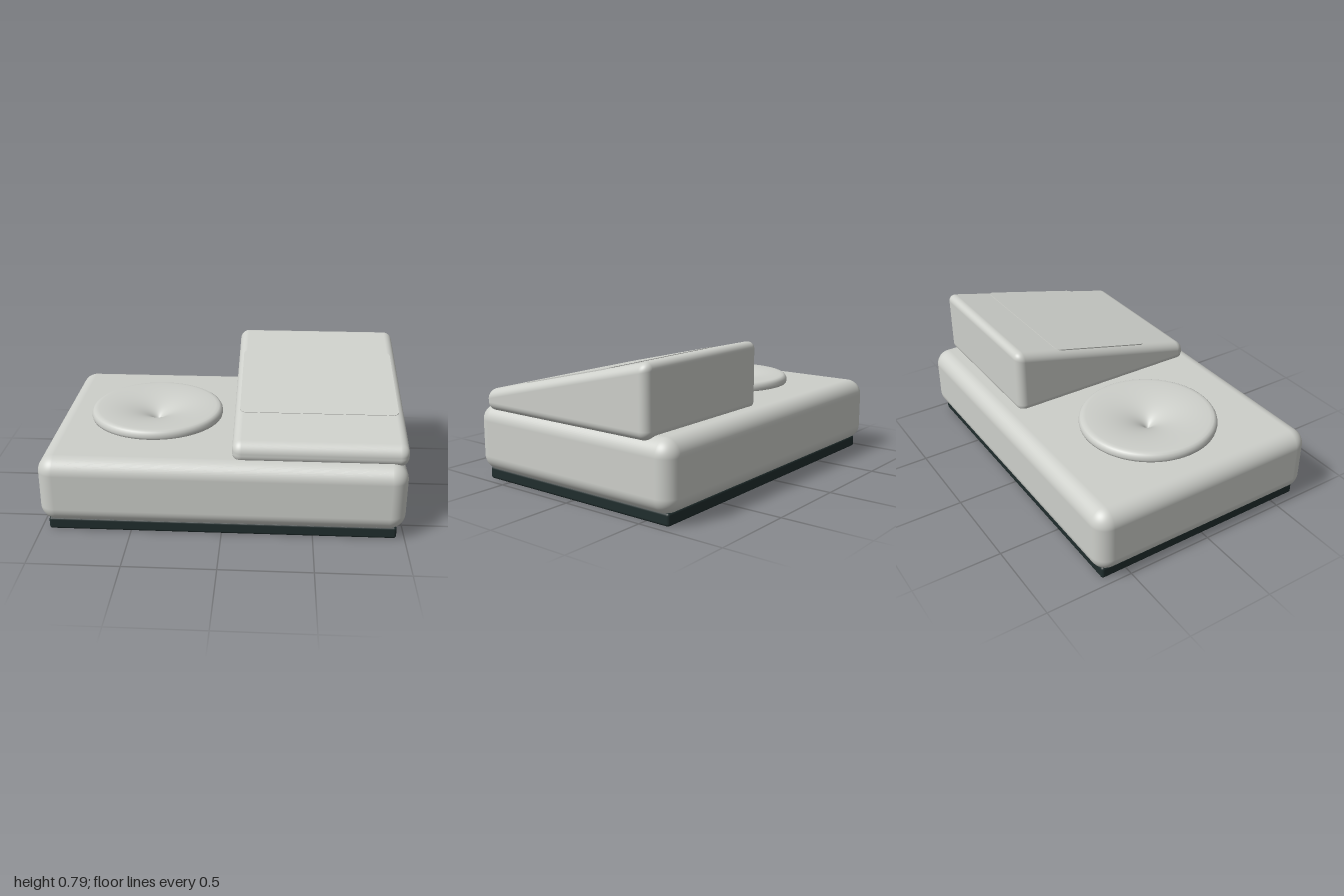
import * as THREE from 'three';
import { RoundedBoxGeometry } from 'three/addons/geometries/RoundedBoxGeometry.js';

const shell = new THREE.MeshStandardMaterial({ color: 0xcdcfca });
shell.name = 'light grey shell';
const rubber = new THREE.MeshStandardMaterial({ color: 0x202d2d });
rubber.name = 'dark base';

const DISH_X = -0.42, BODY_TOP = 0.436, SLOPE = 0.24;

function part(name, geometry, material, x = 0, y = 0, z = 0) {
  const mesh = new THREE.Mesh(geometry, material);
  mesh.name = name;
  mesh.position.set(x, y, z);
  return mesh;
}

function roundedRect(w, h, r) {
  const s = new THREE.Shape();
  const x = w / 2, y = h / 2;
  s.absarc(x - r, y - r, r, 0, Math.PI / 2);
  s.absarc(-x + r, y - r, r, Math.PI / 2, Math.PI);
  s.absarc(-x + r, -y + r, r, Math.PI, Math.PI * 1.5);
  s.absarc(x - r, -y + r, r, Math.PI * 1.5, Math.PI * 2);
  return s;
}

// Rounded box without its flat top, which is replaced by a deck with a hole
function openBox(w, h, d, r) {
  const box = new RoundedBoxGeometry(w, h, d, 8, r);
  const p = box.attributes.position, n = box.attributes.normal;
  const pos = [], nor = [];
  for (let i = 0; i < p.count; i += 3) {
    if ([0, 1, 2].every((k) => p.getY(i + k) > h / 2 - 1e-5)) continue;
    for (let k = i; k < i + 3; k++) {
      pos.push(p.getX(k), p.getY(k), p.getZ(k));
      nor.push(n.getX(k), n.getY(k), n.getZ(k));
    }
  }
  const g = new THREE.BufferGeometry();
  g.setAttribute('position', new THREE.Float32BufferAttribute(pos, 3));
  g.setAttribute('normal', new THREE.Float32BufferAttribute(nor, 3));
  return g;
}

// Rounded box whose upper half is sheared up towards the back
function wedge(w, h, d, r) {
  const g = new RoundedBoxGeometry(w, h, d, 8, r);
  const p = g.attributes.position, n = g.attributes.normal;
  const v = new THREE.Vector3();
  for (let i = 0; i < p.count; i++) {
    if (p.getY(i) <= 0) continue;
    p.setY(i, p.getY(i) + SLOPE * (d / 2 - p.getZ(i)));
    v.fromBufferAttribute(n, i);
    v.z += SLOPE * v.y;
    v.normalize();
    n.setXYZ(i, v.x, v.y, v.z);
  }
  return g;
}

// Round dish: rolled rim, then a hollow that steepens into the middle
function dish() {
  const pts = [[0.375, 0.425], [0.387, 0.436], [0.39, 0.448], [0.388, 0.464], [0.38, 0.477], [0.368, 0.484]]
    .map(([x, y]) => new THREE.Vector2(x, y));
  const a = 0.35, depth = 0.13, steps = 20;
  for (let i = 0; i <= steps; i++) {
    const t = (i / steps) * Math.PI / 2;
    pts.push(new THREE.Vector2(Math.max(0, a * (1 - Math.sin(t))), 0.485 - depth * (1 - Math.cos(t))));
  }
  return new THREE.LatheGeometry(pts, 72);
}

export function createModel() {
  const model = new THREE.Group();
  model.name = 'deskDevice';

  // Dark foot plate
  model.add(part('basePlate', new RoundedBoxGeometry(1.91, 0.07, 1.3, 4, 0.015), rubber, 0, 0.035, 0));

  // Main body and its deck
  const h = 0.381, r = 0.09;
  model.add(part('body', openBox(2, h, 1.384, r), shell, 0, BODY_TOP - h / 2, 0));
  const x = 1 - r, z = 0.692 - r;
  const deck = new THREE.Shape([[-x, -z], [x, -z], [x, z], [-x, z]].map(([a, b]) => new THREE.Vector2(a, b)));
  deck.holes.push(new THREE.Path().absarc(DISH_X, 0, 0.33, 0, Math.PI * 2, true));
  model.add(part('deck', new THREE.ShapeGeometry(deck, 32).rotateX(-Math.PI / 2), shell, 0, BODY_TOP, 0));

  // Dished disc
  model.add(part('dish', dish(), shell, DISH_X, 0, 0));

  // Sloping console
  const front = 0.112, length = 1.17, cz = 0.03;
  model.add(part('console', wedge(0.945, front, length, 0.05), shell, 0.5275, 0.41 + front / 2, cz));

  // Thin panel lying on the slope
  const panel = new THREE.ExtrudeGeometry(roundedRect(0.88, 0.63, 0.035), { depth: 0.006, bevelEnabled: false, curveSegments: 6 });
  panel.rotateX(-Math.PI / 2 + Math.atan(SLOPE));
  const pz = 0.02;
  const py = 0.41 + front + SLOPE * (cz + length / 2 - pz) - 0.003;
  model.add(part('slopePanel', panel, shell, 0.525, py, pz));

  return model;
}
